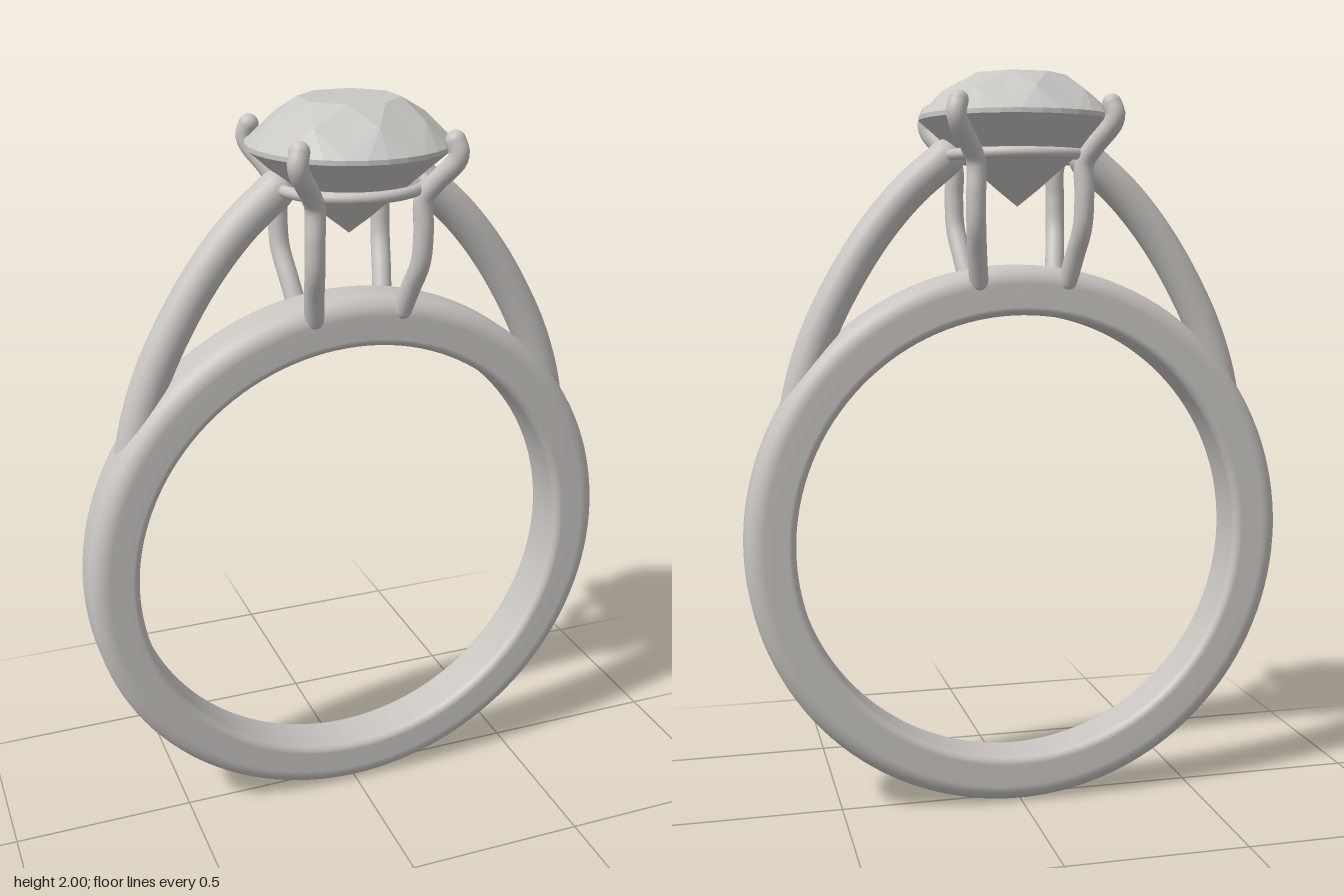
import * as THREE from 'three';

const metal = new THREE.MeshStandardMaterial({ color: 0xc8c5c1 });
metal.name = 'metal';
const gem = new THREE.MeshStandardMaterial({ color: 0xc9c7c4 });
gem.name = 'gem';

function mesh(name, geometry, material = metal) {
  const m = new THREE.Mesh(geometry, material);
  m.name = name;
  return m;
}

// Round bar along a smooth path, with domed ends
function bar(name, points, radius, segments = 40) {
  const path = points.map((p) => new THREE.Vector3(...p));
  const group = new THREE.Group();
  group.name = name;
  const curve = new THREE.CatmullRomCurve3(path, false, 'centripetal');
  group.add(mesh(name + 'Bar', new THREE.TubeGeometry(curve, segments, radius, 20)));
  for (const end of [path[0], path[path.length - 1]]) {
    const cap = mesh(name + 'End', new THREE.SphereGeometry(radius, 20, 14));
    cap.position.copy(end);
    group.add(cap);
  }
  return group;
}

// Band: rounded section spun about z, slightly wider towards the top
function band() {
  const inner = 0.616, outer = 0.75, half = 0.078, ri = 0.022, ro = 0.05;
  const profile = [new THREE.Vector2(inner, 0)];
  const corner = (cx, cy, r, start) => {
    for (let i = 0; i <= 8; i++) {
      const a = start + (i / 8) * Math.PI / 2;
      profile.push(new THREE.Vector2(cx + r * Math.cos(a), cy + r * Math.sin(a)));
    }
  };
  corner(inner + ri, -half + ri, ri, Math.PI);
  corner(outer - ro, -half + ro, ro, -Math.PI / 2);
  profile.push(new THREE.Vector2(outer, 0));
  corner(outer - ro, half - ro, ro, 0);
  corner(inner + ri, half - ri, ri, Math.PI / 2);
  profile.push(new THREE.Vector2(inner, 0));
  const g = new THREE.LatheGeometry(profile, 128).rotateX(Math.PI / 2);
  const p = g.attributes.position;
  for (let i = 0; i < p.count; i++) p.setZ(i, p.getZ(i) * (1 + 0.13 * p.getY(i)));
  return mesh('band', g.translate(0, 0.75, 0));
}

// Brilliant cut: table, crown facets, thin girdle and pavilion facets
function stone() {
  const pos = [];
  const P = (r, y, step) => {
    const a = (step + 0.5) * Math.PI / 4;
    return [r * Math.cos(a), y, r * Math.sin(a)];
  };
  const tri = (a, b, c, flip) => pos.push(...a, ...(flip ? b : c), ...(flip ? c : b));
  const R = 0.264;
  const half = (tipR, tipY, midR, midY, edgeY, flip) => {
    for (let k = 0; k < 8; k++) {
      const t0 = P(tipR, tipY, k), t1 = P(tipR, tipY, k + 1);
      const m0 = P(midR, midY, k - 0.5), m1 = P(midR, midY, k + 0.5);
      const edge = P(R, edgeY, k);
      tri([0, tipY, 0], t0, t1, flip);
      tri(t0, m1, t1, flip);
      tri(t0, m0, edge, flip);
      tri(t0, edge, m1, flip);
      for (let j = 0; j < 4; j++) {
        tri(m1, P(R, edgeY, k + j / 4), P(R, edgeY, k + (j + 1) / 4), flip);
      }
    }
  };
  half(0.13, 2.0, 0.205, 1.954, 1.892, false);
  half(0, 1.655, 0.06, 1.702, 1.88, true);
  for (let k = 0; k < 32; k++) {
    const a = P(R, 1.88, k / 4), b = P(R, 1.88, (k + 1) / 4);
    const c = P(R, 1.892, k / 4), d = P(R, 1.892, (k + 1) / 4);
    tri(a, b, c, false);
    tri(b, d, c, false);
  }
  // Wind every facet away from the middle of the stone
  const v = [new THREE.Vector3(), new THREE.Vector3(), new THREE.Vector3()];
  const centre = new THREE.Vector3(0, 1.87, 0), n = new THREE.Vector3(), e = new THREE.Vector3();
  const out = [];
  for (let i = 0; i < pos.length; i += 9) {
    v.forEach((p, j) => p.fromArray(pos, i + j * 3));
    n.subVectors(v[1], v[0]).cross(e.subVectors(v[2], v[0]));
    if (n.length() < 1e-9) continue;
    const order = n.dot(e.subVectors(v[0], centre)) > 0 ? [0, 1, 2] : [0, 2, 1];
    order.forEach((j) => out.push(v[j].x, v[j].y, v[j].z));
  }
  const g = new THREE.BufferGeometry();
  g.setAttribute('position', new THREE.Float32BufferAttribute(out, 3));
  g.computeVertexNormals();
  return mesh('stone', g, gem);
}

export function createModel() {
  const ring = new THREE.Group();
  ring.name = 'ring';
  ring.add(band(), stone());

  // Gallery rail under the stone
  const rail = mesh('galleryRail', new THREE.TorusGeometry(0.195, 0.015, 14, 72).rotateX(Math.PI / 2));
  rail.position.y = 1.787;
  ring.add(rail);

  for (const sx of [-1, 1]) {
    // Arched shoulder from band to setting
    ring.add(bar(sx > 0 ? 'leftShoulder' : 'rightShoulder', [
      [0.603, 1.1, 0], [0.575, 1.22, 0], [0.522, 1.36, 0],
      [0.41, 1.555, 0], [0.3, 1.69, 0], [0.195, 1.782, 0],
    ].map(([x, y, z]) => [sx * x, y, z]), 0.049));

    // Claw prongs
    for (const sz of [-1, 1]) {
      ring.add(bar((sx > 0 ? 'left' : 'right') + (sz > 0 ? 'Front' : 'Back') + 'Prong', [
        [0.122, 1.455, 0.07], [0.132, 1.52, 0.1], [0.143, 1.6, 0.138], [0.145, 1.68, 0.147],
        [0.145, 1.765, 0.147], [0.165, 1.805, 0.167], [0.203, 1.862, 0.205],
        [0.208, 1.885, 0.209], [0.201, 1.912, 0.201],
      ].map(([x, y, z]) => [sx * x, y, sz * z]), 0.026, 56));
    }
  }
  return ring;
}
